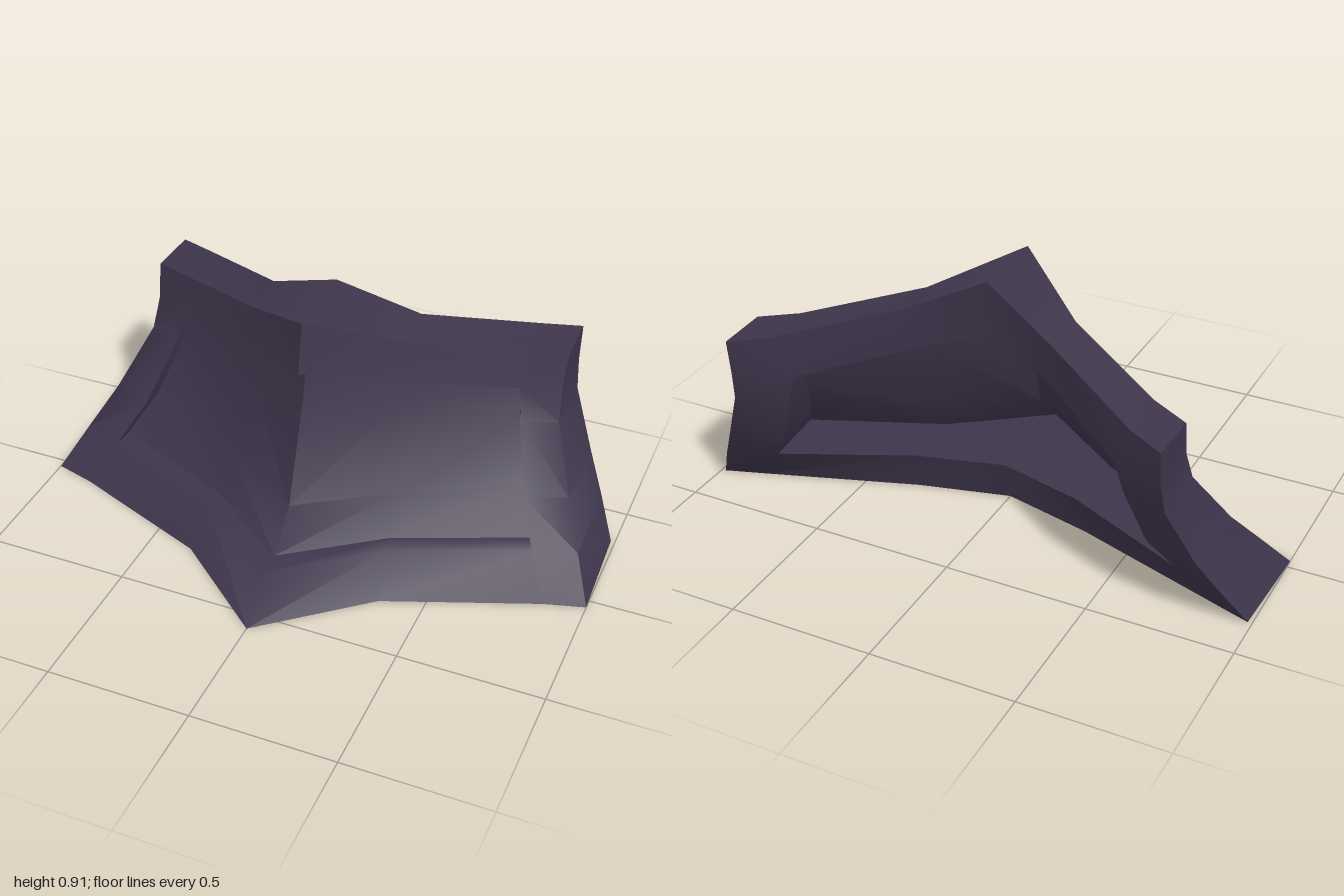
import * as THREE from 'three';
import { toCreasedNormals } from 'three/addons/utils/BufferGeometryUtils.js';

const CREASE = 1.05;

// Collects triangles for one half and mirrors each of them across x = 0.
function mirroredBuilder() {
  const pos = [];
  const tri = (a, b, c) => {
    const u = new THREE.Vector3().subVectors(b, a);
    const v = new THREE.Vector3().subVectors(c, a);
    if (u.cross(v).length() < 1e-6) return;
    for (const p of [a, b, c]) pos.push(p.x, p.y, p.z);
    for (const p of [a, c, b]) pos.push(-p.x, p.y, p.z);
  };
  return {
    // Band between two matching paths
    band(a, b) {
      for (let i = 0; i + 1 < a.length; i++) {
        tri(a[i], a[i + 1], b[i + 1]);
        tri(a[i], b[i + 1], b[i]);
      }
    },
    geometry() {
      const g = new THREE.BufferGeometry();
      g.setAttribute('position', new THREE.Float32BufferAttribute(pos, 3));
      return toCreasedNormals(g, CREASE);
    },
  };
}

const path = (pts) => pts.map((p) => new THREE.Vector3(...p));

export function createModel() {
  const group = new THREE.Group();
  group.name = 'curvedPlate';
  const material = new THREE.MeshStandardMaterial({ color: 0x3e354b, side: THREE.DoubleSide });
  material.name = 'dark purple';

  // Half outlines: bottom centre, out to the corner, up the side, back to top centre
  const outerFront = path([
    [0, 0, 0.57], [0.35, 0, 0.275], [0.86, 0, 0.075], [1, 0, 0.035],
    [0.93, 0.13, -0.07], [0.855, 0.265, -0.18], [0.765, 0.465, -0.31], [0.755, 0.57, -0.35],
    [0.76, 0.695, -0.38], [0.63, 0.71, -0.32], [0.27, 0.79, -0.105], [0, 0.91, 0.1],
  ]);
  const outerBack = path([
    [0, 0, -0.03], [0.32, 0, -0.11], [0.85, 0, -0.29], [0.985, 0, -0.335],
    [0.92, 0.13, -0.405], [0.85, 0.265, -0.47], [0.765, 0.465, -0.535], [0.755, 0.57, -0.555],
    [0.755, 0.695, -0.57], [0.63, 0.71, -0.51], [0.27, 0.79, -0.285], [0, 0.91, -0.195],
  ]);

  // Opening: bottom centre, side, top centre
  const holeFront = path([
    [0, 0.13, 0.43], [0.33, 0.13, 0.165], [0.785, 0.13, -0.02], [0.71, 0.265, -0.125],
    [0.645, 0.47, -0.255], [0.63, 0.585, -0.285], [0.27, 0.66, -0.06], [0, 0.735, 0.13],
  ]);
  const holeBack = path([
    [0, 0.15, -0.07], [0.3, 0.15, -0.15], [0.735, 0.155, -0.36], [0.665, 0.265, -0.42],
    [0.6, 0.455, -0.465], [0.57, 0.56, -0.475], [0.25, 0.64, -0.26], [0, 0.71, -0.18],
  ]);
  // Recessed panel rim, lying on the walls of the opening
  const depth = [0.18, 0.2, 0.2, 0.22, 0.28, 0.34, 0.25, 0.21];
  const rim = holeFront.map((p, i) => p.clone().lerp(holeBack[i], depth[i]));
  // Repeat opening corners so they pair with the outer outline
  const spread = (h) => [0, 1, 2, 2, 2, 3, 4, 5, 5, 5, 6, 7].map((i) => h[i]);

  // Thick frame around the opening
  const frame = mirroredBuilder();
  const sections = [outerFront, spread(holeFront), spread(rim), spread(holeBack), outerBack];
  sections.forEach((s, i) => frame.band(s, sections[(i + 1) % sections.length]));
  const frameMesh = new THREE.Mesh(frame.geometry(), material);
  frameMesh.name = 'frame';

  // Curved panel closing the opening
  const rows = [
    [rim[0], rim[1], rim[2]],
    [...path([[0, 0.255, 0.215], [0.31, 0.26, 0.015]]), rim[3]],
    [...path([[0, 0.62, 0.09], [0.28, 0.565, -0.085]]), rim[4]],
    [rim[7], rim[6], rim[5]],
  ];
  const panel = mirroredBuilder();
  for (let r = 0; r < 3; r++) panel.band(rows[r], rows[r + 1]);
  const panelMesh = new THREE.Mesh(panel.geometry(), material);
  panelMesh.name = 'recessedPanel';

  group.add(frameMesh, panelMesh);
  return group;
}
